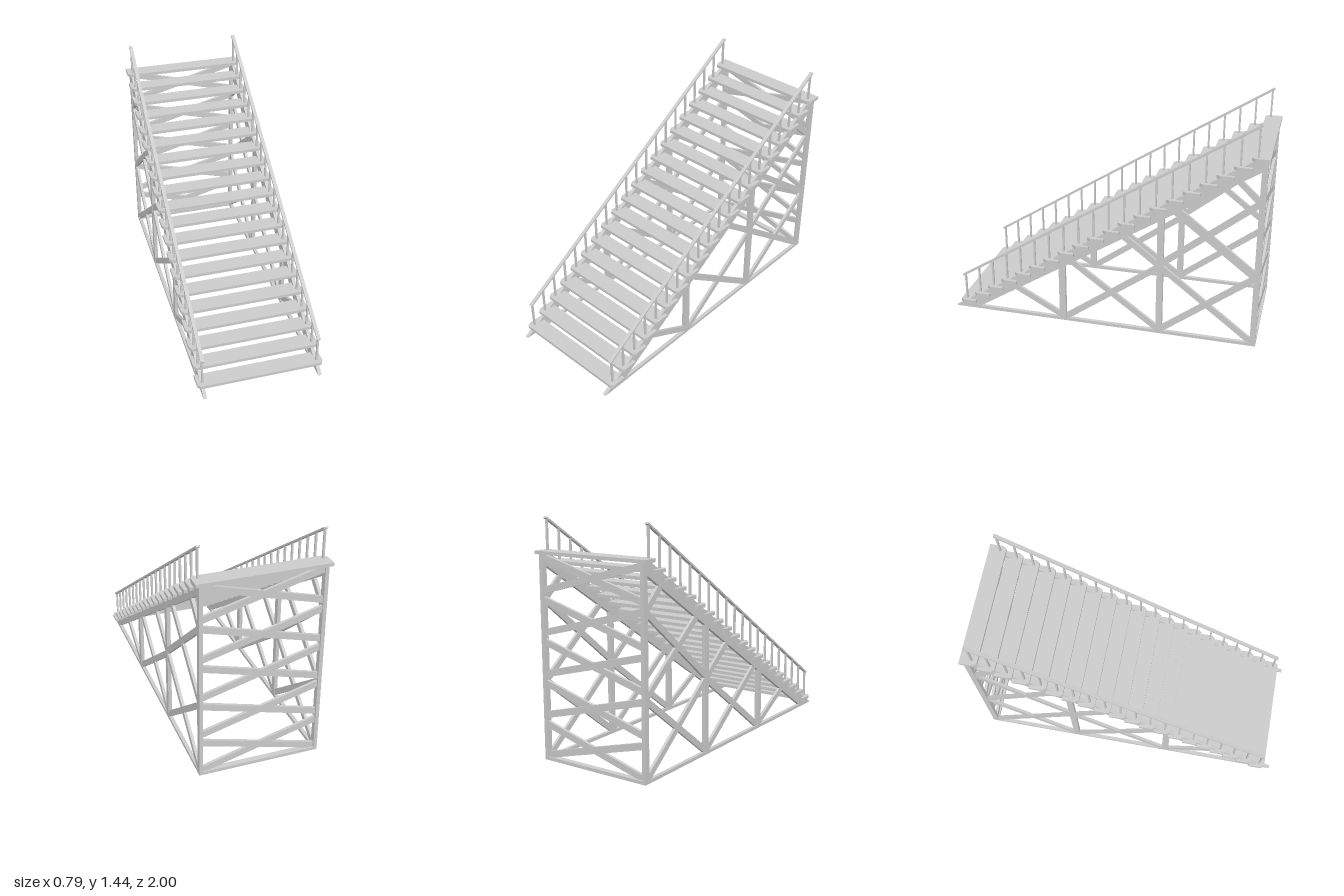
import * as THREE from 'three';

const STEPS = 20, RISE = 0.0624, RUN = 0.0976;
const SLOPE = RISE / RUN;
const SIDE_X = 0.363;   // centre plane of each side frame
const FRAME_W = 0.023;

export function createModel() {
  const model = new THREE.Group();
  model.name = 'staircase';
  const mat = new THREE.MeshStandardMaterial({ color: 0xcccccc, flatShading: true });

  const add = (parent, name, geo, x = 0, y = 0, z = 0) => {
    const m = new THREE.Mesh(geo, mat);
    m.name = name;
    m.position.set(x, y, z);
    parent.add(m);
    return m;
  };
  const box = (parent, name, w, h, d, x, y, z) =>
    add(parent, name, new THREE.BoxGeometry(w, h, d), x, y, z);

  // Straight beam between two points in a side (z, y) plane
  const sideBeam = (parent, name, x, [z1, y1], [z2, y2], height, width) => {
    const len = Math.hypot(z2 - z1, y2 - y1);
    const m = box(parent, name, width, height, len, x, (y1 + y2) / 2, (z1 + z2) / 2);
    m.rotation.x = -Math.atan2(y2 - y1, z2 - z1);
  };

  // Outline given in (z, y), extruded across x
  const sideProfile = (points, width) => {
    const shape = new THREE.Shape(points.map(([z, y]) => new THREE.Vector2(-z, y)));
    const geo = new THREE.ExtrudeGeometry(shape, { depth: width, bevelEnabled: false });
    return geo.translate(0, 0, -width / 2).rotateY(Math.PI / 2);
  };

  // Treads: planks with clipped front corners
  const treads = new THREE.Group();
  treads.name = 'treads';
  model.add(treads);
  const hw = 0.397, hd = 0.053, cut = 0.022;
  const plank = new THREE.Shape([
    [-hw, hd], [-hw, -hd + cut], [-hw + cut * 0.7, -hd],
    [hw - cut * 0.7, -hd], [hw, -hd + cut], [hw, hd],
  ].map(([x, y]) => new THREE.Vector2(x, y)));
  const treadGeo = new THREE.ExtrudeGeometry(plank, { depth: 0.02, bevelEnabled: false })
    .translate(0, 0, -0.01).rotateX(-Math.PI / 2);
  for (let i = 0; i < STEPS; i++) {
    add(treads, 'tread', treadGeo, 0, 0.054 + i * RISE, 0.907 - i * RUN);
  }

  // Side trusses and handrails, mirrored left and right
  const posts = [[0.255, 0.043, 0.44], [-0.378, 0.04, 0.84], [-0.972, 0.036, 1.235]];
  const braces = [
    [[0.24, 0.022], [0.6, 0.215]],
    [[0.24, 0.022], [-0.378, 0.475]],
    [[-0.378, 0.022], [0.245, 0.475]],
    [[-0.378, 0.475], [-0.13, 0.665]],
    [[-0.378, 0.022], [-0.965, 0.475]],
    [[-0.378, 0.475], [-0.965, 0.022]],
    [[-0.378, 0.49], [-0.965, 0.965]],
    [[-0.965, 0.49], [-0.45, 0.89]],
    [[-0.965, 0.965], [-0.81, 1.11]],
  ];
  const drop = 0.09; // vertical depth of the stringer
  const stringerGeo = sideProfile([
    [1, 0], [1 - drop / SLOPE, 0], [-0.988, 1.988 * SLOPE - drop],
    [-0.988, 1.236], [1 - 1.236 / SLOPE, 1.236],
  ], FRAME_W);

  for (const s of [1, -1]) {
    const side = new THREE.Group();
    side.name = s > 0 ? 'leftSide' : 'rightSide';
    model.add(side);
    const x = s * SIDE_X;

    add(side, 'stringer', stringerGeo, x);
    box(side, 'groundBeam', FRAME_W, 0.02, 1.96, x, 0.01, -0.01);
    for (const [z, d, h] of posts) box(side, 'post', FRAME_W, h, d, x, h / 2, z);
    for (const [a, b] of braces) sideBeam(side, 'sideBrace', x, a, b, 0.038, 0.018);

    // Handrail on one baluster per tread
    sideBeam(side, 'handrail', x, [0.938, 0.235], [-0.942, 0.235 + 1.88 * SLOPE], 0.011, FRAME_W);
    for (let i = 0; i < STEPS; i++) {
      const z = 0.925 - i * RUN, foot = 0.06 + i * RISE;
      const top = 0.235 + (0.938 - z) * SLOPE;
      box(side, 'baluster', 0.012, top - foot, 0.011, x, (top + foot) / 2, z);
    }
  }

  // Back frame: ground beam and a stack of crossed braces
  const back = new THREE.Group();
  back.name = 'backFrame';
  model.add(back);
  box(back, 'backGroundBeam', 2 * SIDE_X, 0.02, 0.036, 0, 0.01, -0.972);
  const span = 2 * SIDE_X, climb = 0.195;
  for (let k = 0; k < 5; k++) {
    for (const s of [1, -1]) {
      const m = box(back, 'backBrace', Math.hypot(span, climb), 0.04, 0.018,
        0, 0.125 + k * 0.248, -0.972);
      m.rotation.z = s * Math.atan2(climb, span);
    }
  }

  return model;
}
